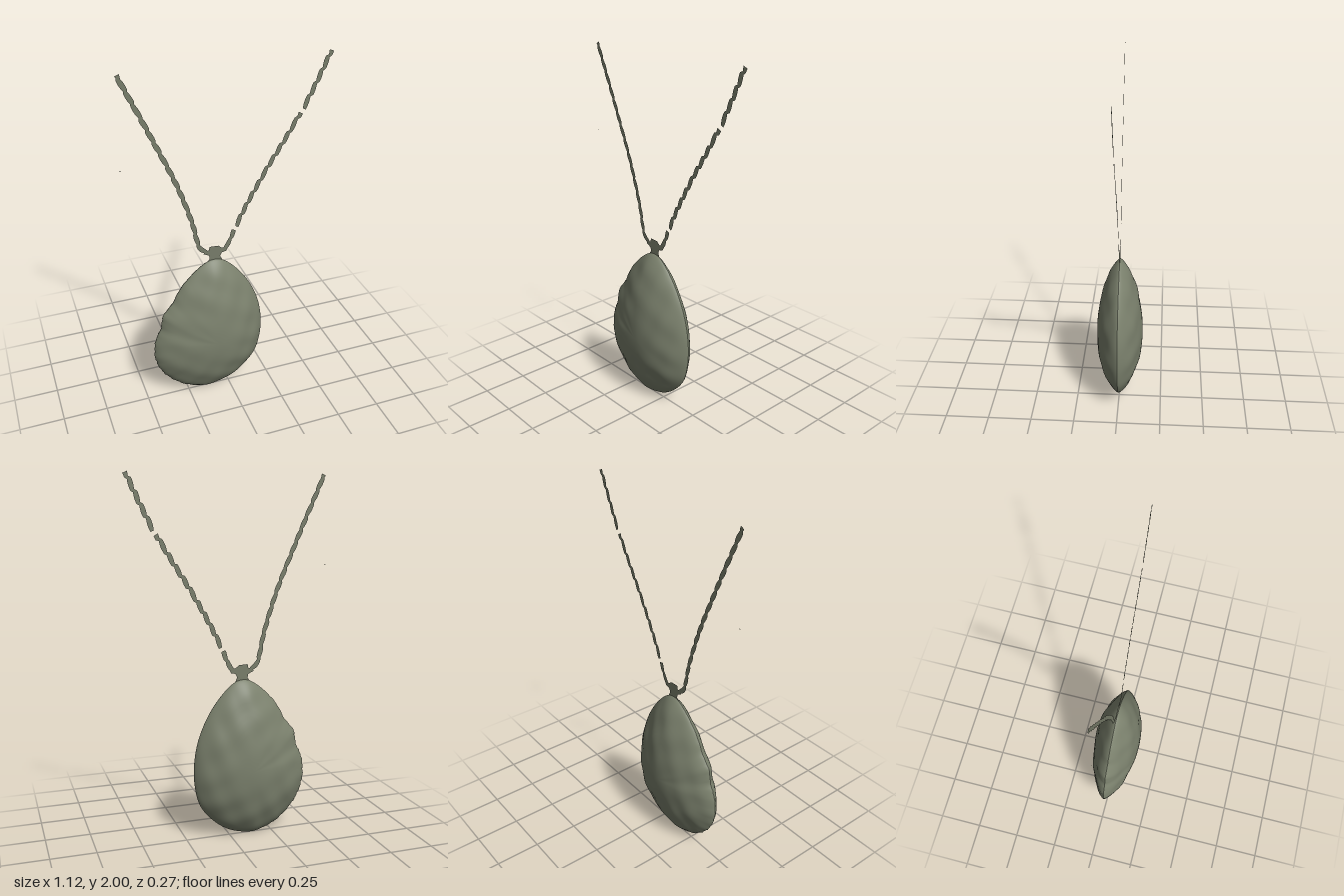
import * as THREE from 'three';

const V = (x, y) => new THREE.Vector3(x, y, 0);
const stone = new THREE.MeshStandardMaterial({ color: 0x7b816d });
stone.name = 'grey green stone';
const cord = new THREE.MeshStandardMaterial({ color: 0x787d6a, side: THREE.DoubleSide });
cord.name = 'grey green cord';

// Rim of the egg-shaped pendant, anticlockwise from the bottom
const RIM = [
  [-0.13, 0], [0, 0.03], [0.1, 0.1], [0.17, 0.19], [0.2, 0.3], [0.205, 0.42],
  [0.185, 0.55], [0.14, 0.67], [0.08, 0.77], [0, 0.86], [-0.05, 0.89], [-0.11, 0.89],
  [-0.2, 0.83], [-0.28, 0.74], [-0.33, 0.65], [-0.385, 0.58], [-0.4, 0.5], [-0.435, 0.42],
  [-0.445, 0.3], [-0.415, 0.2], [-0.36, 0.12], [-0.28, 0.05], [-0.2, 0.015],
];
const CENTRE = [-0.09, 0.4];

// One domed half of the pendant; side is 1 for the front, -1 for the back
function dome(side) {
  const segs = 138, rings = 18;
  const curve = new THREE.CatmullRomCurve3(RIM.map(p => V(...p)), true);
  const pos = [CENTRE[0], CENTRE[1], 0.134 * side], index = [];
  for (let r = 1; r <= rings; r++) {
    const t = Math.sin((r / rings) * Math.PI / 2);
    for (let s = 0; s < segs; s++) {
      const p = curve.getPoint(s / segs);
      // ragged rim on the right-hand side of the stone
      const rough = p.x < -0.2 ? 1 + 0.009 * Math.sin(s * 2.3) * Math.sin(s * 0.9) * t ** 8 : 1;
      const x = CENTRE[0] + (p.x - CENTRE[0]) * t * rough;
      const y = Math.max(0, CENTRE[1] + (p.y - CENTRE[1]) * t * rough);
      // shallow dents, fading towards the crown and the rim
      const dent = 0.005 * Math.sin(x * 31 + y * 9) * Math.sin(y * 27 - x * 12) * 4 * t * t * (1 - t * t);
      const z = r === rings ? 0 : 0.134 * Math.pow(1 - t * t, 0.72) + dent;
      pos.push(x, y, z * side);
    }
  }
  const tri = (a, b, c) => (side > 0 ? index.push(a, b, c) : index.push(a, c, b));
  for (let s = 0; s < segs; s++) {
    const n = (s + 1) % segs;
    tri(0, 1 + s, 1 + n);
    for (let r = 0; r < rings - 1; r++) {
      const a = 1 + r * segs, b = a + segs;
      tri(a + s, b + s, b + n);
      tri(a + s, b + n, a + n);
    }
  }
  const g = new THREE.BufferGeometry();
  g.setAttribute('position', new THREE.Float32BufferAttribute(pos, 3));
  g.setIndex(index);
  g.computeVertexNormals();
  return g;
}

// Flat strand along a path, with wavy edges like twisted links
function strand(points, width, wave) {
  const curve = new THREE.CatmullRomCurve3(points.map(p => V(...p)));
  const n = Math.ceil(curve.getLength() / 0.012), left = [], right = [];
  for (let i = 0; i <= n; i++) {
    const p = curve.getPointAt(i / n), d = curve.getTangentAt(i / n);
    const phase = (i * 0.012 / 0.075) % 1;
    const shift = wave * (phase - 0.5);
    const half = width / 2 * (0.8 + 0.35 * Math.sin(phase * Math.PI));
    const at = o => new THREE.Vector2(p.x - d.y * o, p.y + d.x * o);
    left.push(at(shift + half));
    right.push(at(shift - half));
  }
  return new THREE.ShapeGeometry(new THREE.Shape([...right, ...left.reverse()]));
}

export function createModel() {
  const model = new THREE.Group();
  model.name = 'pendantNecklace';
  const add = (name, geometry, material) => {
    const mesh = new THREE.Mesh(geometry, material);
    mesh.name = name;
    model.add(mesh);
  };

  add('pendantFront', dome(1), stone);
  add('pendantBack', dome(-1), stone);

  // Flat bail that flares out to both strands
  const bail = [
    [-0.125, 0.875], [-0.03, 0.875], [-0.045, 0.91], [-0.035, 0.93], [-0.01, 0.935], [0.003, 0.96],
    [-0.035, 0.96], [-0.055, 0.977], [-0.105, 0.98], [-0.11, 0.958], [-0.135, 0.957],
    [-0.14, 0.94], [-0.11, 0.925], [-0.105, 0.905],
  ].map(p => new THREE.Vector2(...p));
  add('bail', new THREE.ShapeGeometry(new THREE.Shape(bail)), cord);

  // Strands, the left one in three pieces
  add('rightStrand', strand([[-0.125, 0.947], [-0.16, 0.985], [-0.2, 1.15], [-0.27, 1.37],
    [-0.4, 1.68], [-0.54, 1.995]], 0.024, 0.006), cord);
  add('leftStrandLower', strand([[-0.025, 0.945], [0.005, 0.985], [0.035, 1.06]], 0.024, 0.006), cord);
  add('leftStrandMiddle', strand([[0.045, 1.08], [0.11, 1.21], [0.2, 1.37], [0.3, 1.53],
    [0.395, 1.685]], 0.024, 0.012), cord);
  add('leftStrandUpper', strand([[0.408, 1.705], [0.47, 1.83], [0.545, 1.995]], 0.024, 0.012), cord);

  // Loose fleck beside the strand
  const fleck = new THREE.CircleGeometry(0.003, 6);
  fleck.translate(-0.557, 1.513, 0);
  add('fleck', fleck, cord);
  return model;
}
